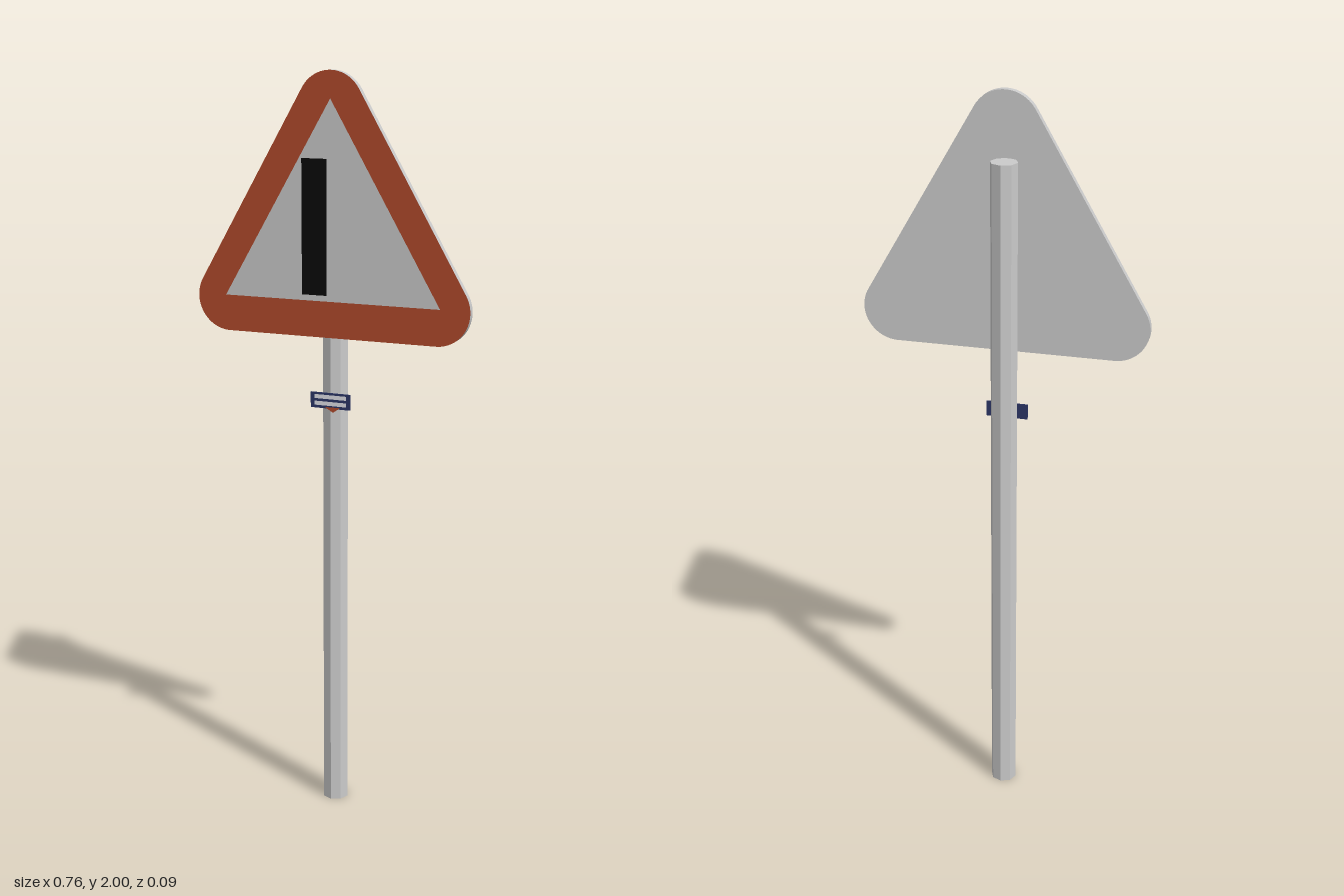
import * as THREE from 'three';

const material = (name, color) => {
  const m = new THREE.MeshStandardMaterial({ color });
  m.name = name;
  return m;
};

// Triangle with round corners: arcs around three corner centres
function roundedTriangle() {
  const r = 0.09, s = new THREE.Shape();
  const corners = [[0.29, 1.41, -90], [0, 1.91, 30], [-0.29, 1.41, 150]];
  for (const [x, y, deg] of corners) {
    const a = THREE.MathUtils.degToRad(deg);
    s.absarc(x, y, r, a, a + Math.PI * 2 / 3, false);
  }
  s.closePath();
  return s;
}

const polygon = (points) => new THREE.Shape(points.map(([x, y]) => new THREE.Vector2(x, y)));

export function createModel() {
  const group = new THREE.Group();
  const grey = material('galvanised grey', 0xcacaca);
  const red = material('border red', 0xb04a2c);
  const black = material('symbol black', 0x0a0a0a);
  const blue = material('sticker blue', 0x2c3566);
  const white = material('sticker white', 0xe4e4ea);

  const add = (name, geometry, mat, x = 0, y = 0, z = 0) => {
    const mesh = new THREE.Mesh(geometry, mat);
    mesh.name = name;
    mesh.position.set(x, y, z);
    group.add(mesh);
    return mesh;
  };

  // Eight-sided post
  const postGeometry = new THREE.CylinderGeometry(0.0355, 0.0355, 1.83, 8).toNonIndexed();
  postGeometry.computeVertexNormals();
  add('post', postGeometry, grey, -0.007, 0.915, -0.011);

  // Sign plate, its face shows inside the border
  add('signPlate', new THREE.ExtrudeGeometry(roundedTriangle(), {
    depth: 0.018, bevelEnabled: false, curveSegments: 14,
  }), grey, 0, 0, 0.022);

  // Red border with a sharp triangular opening
  const border = roundedTriangle();
  border.holes.push(new THREE.Path(polygon([[0, 1.93], [-0.3, 1.415], [0.3, 1.415]]).getPoints()));
  add('border', new THREE.ShapeGeometry(border, 14), red, 0, 0, 0.0406);

  // Upright black bar
  add('blackBar', new THREE.PlaneGeometry(0.07, 0.35), black, -0.045, 1.605, 0.0408);

  // Small sticker plate on the post
  add('sticker', new THREE.BoxGeometry(0.112, 0.042, 0.003), blue, -0.006, 1.149, 0.0265);
  for (const y of [1.159, 1.141]) {
    add('stickerStripe', new THREE.PlaneGeometry(0.09, 0.011), white, -0.006, y, 0.0284);
  }
  add('stickerTip', new THREE.ShapeGeometry(polygon([[-0.022, 1.132], [0.002, 1.118], [0.022, 1.132]])),
    red, 0, 0, 0.0286);

  return group;
}
